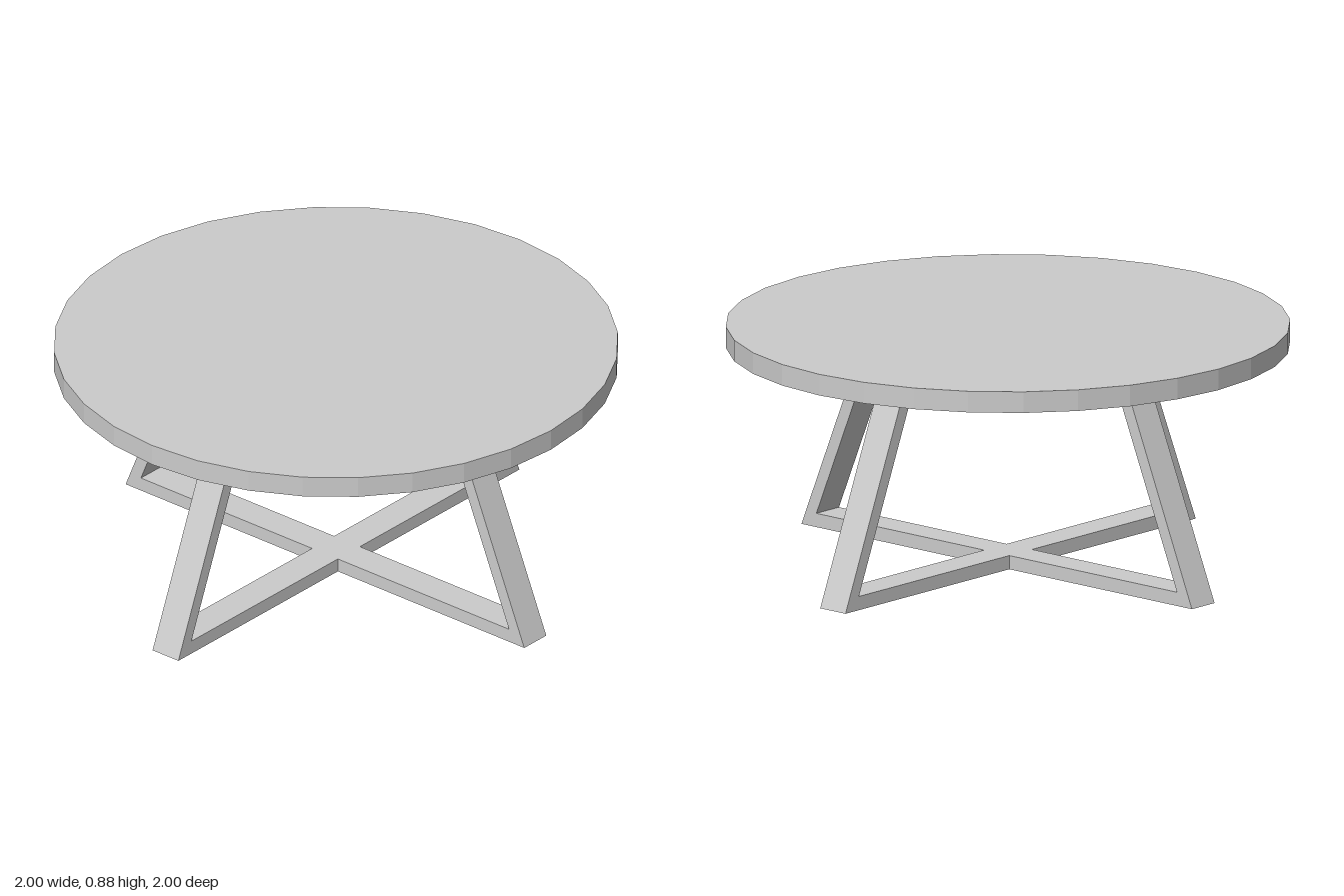
import * as THREE from 'three';

const material = new THREE.MeshStandardMaterial({ color: 0xcccccc, flatShading: true });

const TOP_Y = 0.8;       // underside of the table top
const TOP_THICK = 0.077;
const FRAME_WIDTH = 0.12;

// Symmetric trapezoid outline, from its half widths and heights
function trapezoid(PathType, bottomHalf, bottomY, topHalf, topY) {
  return new PathType([
    new THREE.Vector2(-bottomHalf, bottomY),
    new THREE.Vector2(bottomHalf, bottomY),
    new THREE.Vector2(topHalf, topY),
    new THREE.Vector2(-topHalf, topY),
  ]);
}

// Closed trapezoid frame: two slanted legs, a floor bar and a top bar
function createFrame(name, angle) {
  const outline = trapezoid(THREE.Shape, 0.928, 0, 0.6, TOP_Y);
  outline.holes.push(trapezoid(THREE.Path, 0.857, 0.05, 0.568, 0.752));
  const geometry = new THREE.ExtrudeGeometry(outline, { depth: FRAME_WIDTH, bevelEnabled: false });
  geometry.translate(0, 0, -FRAME_WIDTH / 2);
  const frame = new THREE.Mesh(geometry, material);
  frame.name = name;
  frame.rotation.y = angle;
  return frame;
}

export function createModel() {
  const table = new THREE.Group();
  table.name = 'roundTable';

  // Faceted round top
  const top = new THREE.Mesh(new THREE.CylinderGeometry(1, 1, TOP_THICK, 32), material);
  top.name = 'tableTop';
  top.position.y = TOP_Y + TOP_THICK / 2;
  table.add(top);

  // Two frames crossing at right angles
  const base = new THREE.Group();
  base.name = 'crossBase';
  base.add(createFrame('sideToSideFrame', 0), createFrame('frontToBackFrame', Math.PI / 2));
  table.add(base);

  return table;
}
